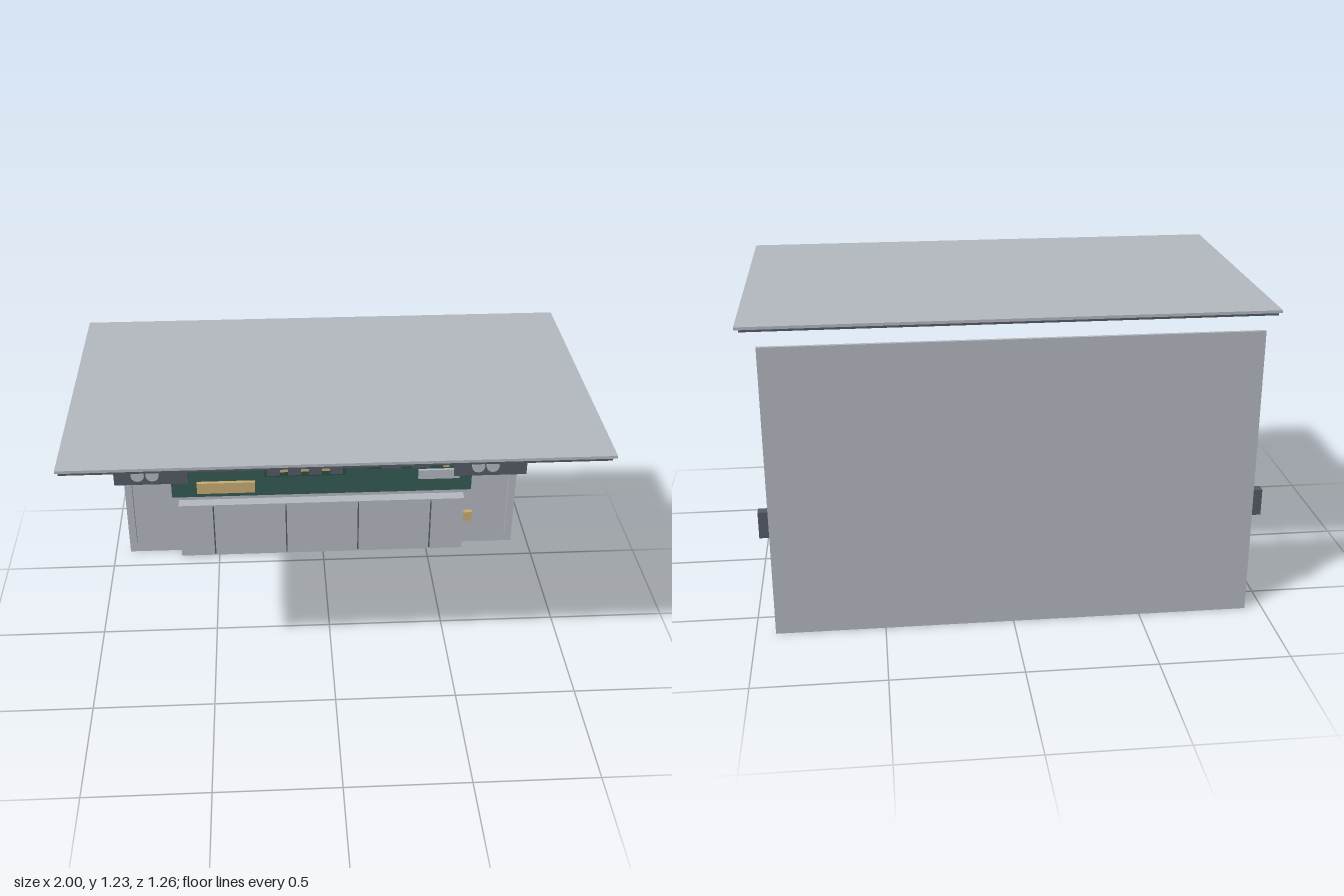
import * as THREE from 'three';

const mat = (name, color) => {
  const m = new THREE.MeshStandardMaterial({ color });
  m.name = name;
  return m;
};

export function createModel() {
  const root = new THREE.Group();
  root.name = 'explodedLaptop';
  const silver = mat('silver', 0xb4b8c0);
  const dark = mat('darkGrey', 0x555b66);
  const green = mat('boardGreen', 0x365a54);
  const deepGreen = mat('moduleGreen', 0x2c4d48);
  const gold = mat('gold', 0xc8ad73);

  // box given by its extents on each axis
  const box = (name, m, x0, x1, y0, y1, z0, z1, parent = root) => {
    const mesh = new THREE.Mesh(new THREE.BoxGeometry(x1 - x0, y1 - y0, z1 - z0), m);
    mesh.position.set((x0 + x1) / 2, (y0 + y1) / 2, (z0 + z1) / 2);
    mesh.name = name;
    parent.add(mesh);
    return mesh;
  };
  // disc facing +z
  const disc = (name, m, x, y, r, z0, z1, sides, parent = root) => {
    const geo = new THREE.CylinderGeometry(r, r, z1 - z0, sides).rotateX(Math.PI / 2);
    const mesh = new THREE.Mesh(geo, m);
    mesh.position.set(x, y, (z0 + z1) / 2);
    mesh.name = name;
    parent.add(mesh);
  };

  // lid lying flat above, dark screen beneath
  box('lidShell', silver, -1, 1, 1.214, 1.225, -0.59, 0.632);
  box('lidScreen', dark, -0.99, 0.985, 1.202, 1.214, -0.577, 0.625);

  // upright base plate with side rails
  box('basePlate', silver, -0.93, 0.923, 0, 1.16, -0.631, -0.617);
  box('rightRail', silver, -0.92, -0.893, 0.055, 1.11, -0.617, -0.594);
  box('leftRail', silver, 0.885, 0.913, 0.055, 1.11, -0.617, -0.594);

  // main board
  box('mainBoard', green, -0.71, 0.707, 0.312, 0.978, -0.617, -0.602);

  // battery with cell seams and connector
  box('battery', silver, -0.68, 0.672, 0.003, 0.287, -0.617, -0.564);
  for (const x of [-0.518, -0.175, 0.168, 0.513])
    box('batterySeam', dark, x - 0.003, x + 0.003, 0.012, 0.28, -0.565, -0.561);
  box('batteryConnector', gold, 0.672, 0.715, 0.152, 0.2, -0.595, -0.573);

  // fans: housing, hub and three vanes
  for (const [name, x] of [['rightFan', -0.674], ['leftFan', 0.668]]) {
    const fan = new THREE.Group();
    fan.name = name;
    fan.position.set(x, 0.799, 0);
    root.add(fan);
    disc('fanHousing', dark, 0, 0, 0.163, -0.602, -0.557, 40, fan);
    disc('fanHub', silver, 0, 0, 0.052, -0.557, -0.537, 16, fan);
    for (let i = 0; i < 3; i++) {
      const a = (i * Math.PI * 2) / 3;
      const vane = box('fanVane', silver, -0.055, 0.055, -0.015, 0.015, -0.557, -0.548, fan);
      vane.position.x = Math.cos(a) * 0.09;
      vane.position.y = Math.sin(a) * 0.09;
      vane.rotation.z = -a;
    }
  }

  // heat pipes
  const pipe = (name, pts) => {
    const p = pts.map(([x, y]) => new THREE.Vector3(x, y, -0.538));
    const path = new THREE.CurvePath();
    path.add(new THREE.LineCurve3(p[0], p[1]));
    path.add(new THREE.LineCurve3(p[1], p[2]));
    const mesh = new THREE.Mesh(new THREE.TubeGeometry(path, 24, 0.012, 8), gold);
    mesh.name = name;
    root.add(mesh);
  };
  pipe('rightHeatPipe', [[-0.596, 0.736], [-0.38, 0.793], [-0.3, 0.722]]);
  pipe('leftHeatPipe', [[0.595, 0.741], [0.358, 0.793], [0.265, 0.722]]);

  // processors
  box('processorSocket', dark, -0.328, -0.083, 0.6, 0.817, -0.602, -0.573);
  box('processorPlate', silver, -0.302, -0.115, 0.625, 0.796, -0.573, -0.56);
  box('processorDie', dark, -0.26, -0.152, 0.657, 0.754, -0.56, -0.55);
  box('graphicsSocket', dark, 0.025, 0.25, 0.618, 0.807, -0.602, -0.573);
  box('graphicsPlate', silver, 0.05, 0.222, 0.637, 0.78, -0.573, -0.56);
  box('powerBus', gold, 0.254, 0.27, 0.53, 0.768, -0.602, -0.585);
  box('topStrip', silver, -0.222, 0.126, 0.888, 0.904, -0.602, -0.59);

  // memory module
  box('memoryModule', deepGreen, -0.275, 0.112, 0.422, 0.49, -0.602, -0.585);
  box('memoryContacts', gold, -0.22, 0.055, 0.449, 0.465, -0.585, -0.58);
  for (let i = 0; i < 4; i++) {
    const x = -0.229 + i * 0.0975;
    box('memoryChip', dark, x - 0.03, x + 0.03, 0.436, 0.478, -0.585, -0.572);
  }

  // storage module
  box('storageModule', deepGreen, 0.21, 0.597, 0.449, 0.533, -0.602, -0.585);
  for (const x of [0.322, 0.459]) box('storageChip', dark, x - 0.045, x + 0.045, 0.46, 0.523, -0.585, -0.568);
  box('storageContacts', gold, 0.565, 0.594, 0.453, 0.53, -0.585, -0.58);

  // small board parts
  box('cardSlot', silver, 0.452, 0.647, 0.385, 0.433, -0.602, -0.588);
  box('ribbonConnector', gold, -0.59, -0.318, 0.34, 0.396, -0.602, -0.583);

  // speakers with twin drivers
  for (const [name, x] of [['rightSpeaker', -0.799], ['leftSpeaker', 0.79]]) {
    const s = new THREE.Group();
    s.name = name;
    s.position.x = x;
    root.add(s);
    box('speakerBody', dark, -0.171, 0.171, 0.404, 0.51, -0.614, -0.577, s);
    for (const dx of [-0.06, 0.008]) disc('speakerDriver', silver, dx, 0.459, 0.031, -0.577, -0.564, 12, s);
  }
  return root;
}
